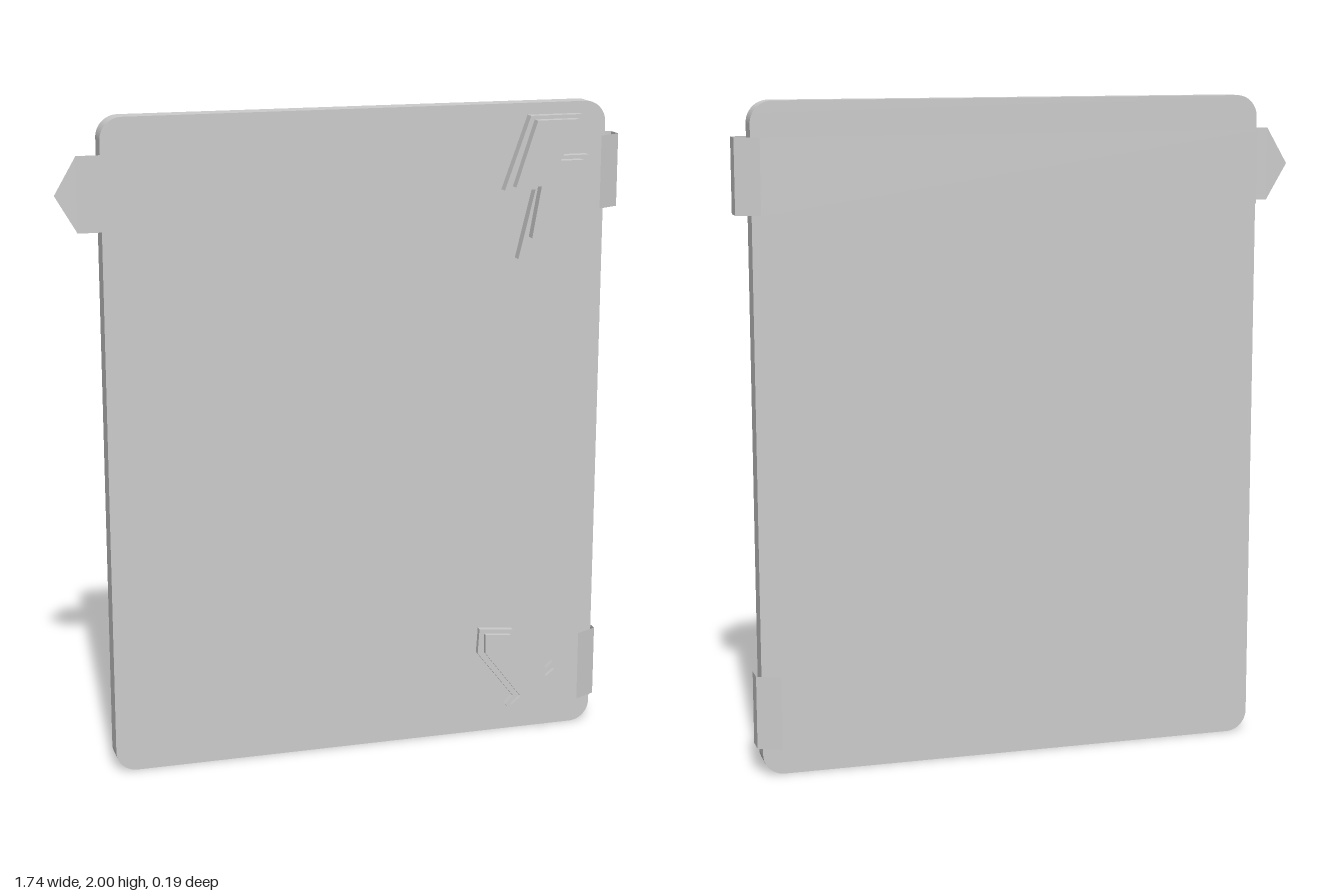
import * as THREE from 'three';

const grey = new THREE.MeshStandardMaterial({ color: 0xcccccc, flatShading: true });
const sheet = new THREE.MeshStandardMaterial({ color: 0xcccccc, flatShading: true, side: THREE.DoubleSide });

const outline = (pts) => new THREE.Shape(pts.map(([x, y]) => new THREE.Vector2(x, y)));

// Solid with a flat outline, running from zBack to zFront
function slab(name, shape, zBack, zFront) {
  const geo = new THREE.ExtrudeGeometry(shape, { depth: zFront - zBack, bevelEnabled: false, curveSegments: 8 });
  geo.translate(0, 0, zBack);
  const mesh = new THREE.Mesh(geo, grey);
  mesh.name = name;
  return mesh;
}

// Thin band with a pointed front end, folded round the edge of the board
function strap(name, tipX, backX, edgeX, y0, y1) {
  const front = 0.032, back = -0.0925, shoulderX = tipX + 0.065, foldX = edgeX - 0.069;
  const path = [[shoulderX, front], [foldX, front], [edgeX, -0.003], [edgeX, -0.06], [foldX, back], [backX, back]];
  const pos = [tipX, (y0 + y1) / 2, front, shoulderX, y0, front, shoulderX, y1, front];
  for (let i = 0; i < path.length - 1; i++) {
    const [ax, az] = path[i], [bx, bz] = path[i + 1];
    pos.push(ax, y0, az, bx, y0, bz, bx, y1, bz);
    pos.push(ax, y0, az, bx, y1, bz, ax, y1, az);
  }
  const geo = new THREE.BufferGeometry();
  geo.setAttribute('position', new THREE.Float32BufferAttribute(pos, 3));
  geo.computeVertexNormals();
  const mesh = new THREE.Mesh(geo, sheet);
  mesh.name = name;
  return mesh;
}

// Badge made of a base plate and a smaller raised plate
function badge(name, base, raised, z0, z1, z2) {
  const group = new THREE.Group();
  group.name = name;
  group.add(slab(name + 'Base', outline(base), z0, z1));
  group.add(slab(name + 'Raised', outline(raised), z1, z2));
  return group;
}

export function createModel() {
  const model = new THREE.Group();
  model.name = 'strappedBoard';

  // Board with rounded corners
  const x0 = -0.73, x1 = 0.82, r = 0.065;
  const s = new THREE.Shape();
  s.absarc(x1 - r, r, r, -Math.PI / 2, 0);
  s.absarc(x1 - r, 2 - r, r, 0, Math.PI / 2);
  s.absarc(x0 + r, 2 - r, r, Math.PI / 2, Math.PI);
  s.absarc(x0 + r, r, r, Math.PI, Math.PI * 1.5);
  s.closePath();
  model.add(slab('board', s, -0.062, 0.004));

  // Straps
  model.add(strap('upperStrap', -0.87, -0.72, 0.867, 1.675, 1.897));
  model.add(strap('lowerStrap', 0.262, 0.33, 0.836, 0.085, 0.308));

  // Lightning badge on the upper strap
  model.add(badge('boltBadge',
    [[0.558, 1.968], [0.722, 1.968], [0.664, 1.846], [0.746, 1.846], [0.526, 1.538], [0.577, 1.748], [0.479, 1.748]],
    [[0.569, 1.957], [0.702, 1.957], [0.644, 1.835], [0.716, 1.835], [0.558, 1.605], [0.585, 1.76], [0.504, 1.76]],
    0.032, 0.063, 0.0925));

  // Dagger badge on the lower strap
  model.add(badge('daggerBadge',
    [[0.426, 0.361], [0.537, 0.35], [0.653, 0.207], [0.675, 0.228], [0.701, 0.196], [0.667, 0.159], [0.712, 0.09],
      [0.648, 0.037], [0.593, 0.098], [0.548, 0.064], [0.516, 0.101], [0.542, 0.127], [0.421, 0.281]],
    [[0.442, 0.345], [0.526, 0.337], [0.648, 0.186], [0.675, 0.207], [0.685, 0.194], [0.646, 0.157], [0.688, 0.093],
      [0.651, 0.058], [0.595, 0.119], [0.55, 0.085], [0.534, 0.101], [0.563, 0.127], [0.442, 0.284]],
    0.032, 0.049, 0.062));

  return model;
}
